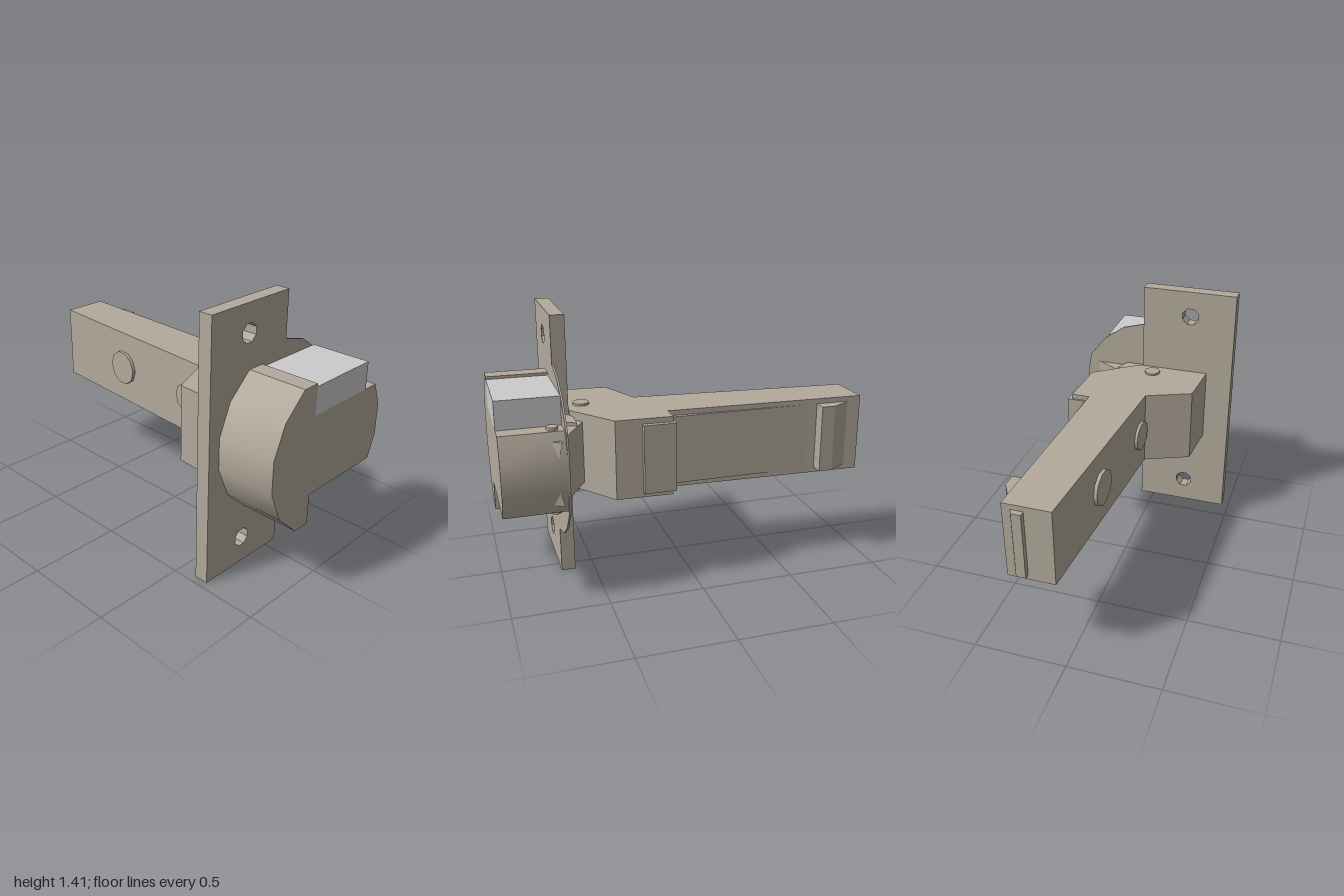
import * as THREE from 'three';
import { toCreasedNormals } from 'three/addons/utils/BufferGeometryUtils.js';
import { ConvexGeometry } from 'three/addons/geometries/ConvexGeometry.js';

const MID = 0.707; // height of the arm and cup axis

export function createModel() {
  const group = new THREE.Group();
  const metal = new THREE.MeshStandardMaterial({ color: 0xb3aa9c });
  const grey = new THREE.MeshStandardMaterial({ color: 0xcccccc });

  const add = (name, geometry, material = metal) => {
    const mesh = new THREE.Mesh(geometry, material);
    mesh.name = name;
    group.add(mesh);
    return mesh;
  };
  const toShape = (pts) => new THREE.Shape(pts.map(([x, y]) => new THREE.Vector2(x, y)));
  const extrude = (shape, depth) => new THREE.ExtrudeGeometry(shape, { depth, bevelEnabled: false, curveSegments: 4 });
  // front outline (x, y) extruded from z0 to z1
  const facing = (shape, z0, z1) => extrude(shape, z1 - z0).translate(0, 0, z0);
  // plan outline (x, z) extruded from y0 to y1
  const plan = (pts, y0, y1) => extrude(toShape(pts), y1 - y0).rotateX(Math.PI / 2).translate(0, y1, 0);
  const box = (x0, x1, y0, y1, z0, z1) => new THREE.BoxGeometry(x1 - x0, y1 - y0, z1 - z0)
    .translate((x0 + x1) / 2, (y0 + y1) / 2, (z0 + z1) / 2);
  const disc = (r, y0, y1, x, z) => new THREE.CylinderGeometry(r, r, y1 - y0, 10).translate(x, (y0 + y1) / 2, z);

  // Mounting plate with two octagonal screw holes
  const plate = toShape([[-0.46, 0], [0.08, 0], [0.08, 1.414], [-0.46, 1.414]]);
  for (const y of [0.149, 1.265]) {
    const hole = new THREE.Path();
    for (let i = 0; i < 8; i++) {
      const a = -(i + 0.5) * Math.PI / 4;
      const p = [-0.2 + 0.051 * Math.cos(a), y + 0.051 * Math.sin(a)];
      i ? hole.lineTo(...p) : hole.moveTo(...p);
    }
    hole.closePath();
    plate.holes.push(hole);
  }
  add('mountingPlate', facing(plate, 0.605, 0.68));

  // Thin round flange beside the plate
  const rim = [[0.08, 0.455], [0.225, 0.415], [0.345, 0.33], [0.437, 0.212], [0.458, 0.085]];
  const lower = rim.map(([x, d]) => [x, MID - d]);
  const upper = rim.map(([x, d]) => [x, MID + d]).reverse();
  add('cupFlange', facing(toShape([...lower, ...upper]), 0.67, 0.68));

  // Cup body: rounded on the outside, stepped above and below
  const half = [[-0.39, 0.085], [-0.32, 0.25], [-0.19, 0.373], [-0.095, 0.373],
    [-0.095, 0.21], [0.41, 0.21], [0.458, 0.085]];
  const cup = [...half.map(([x, d]) => [x, MID - d]), ...half.map(([x, d]) => [x, MID + d]).reverse()];
  add('cup', toCreasedNormals(facing(toShape(cup), 0.68, 1), 0.7));
  add('damperBlock', box(-0.095, 0.32, 0.917, 1.065, 0.68, 1), grey);

  // Rivets and barbs on the cup
  add('cupRivetTop', disc(0.03, 0.9, 0.932, 0.37, 0.735));
  add('cupRivetBottom', disc(0.03, 0.482, 0.51, 0.37, 0.735));
  add('cupRivetBottomInner', disc(0.03, 0.482, 0.51, 0.25, 0.835));
  for (const s of [-1, 1]) {
    const corners = [[0.405, 0.165, 0.7], [0.457, 0.165, 0.7], [0.457, 0.085, 0.72], [0.425, 0.165, 0.755], [0.405, 0.12, 0.73]];
    add('cupBarb', new ConvexGeometry(corners.map(([x, d, z]) => new THREE.Vector3(x, MID + s * d, z))));
  }

  // Link between cup and arm, with side cheeks
  add('link', plan([[0.08, 0.615], [0.17, 0.55], [0.38, 0.67], [0.08, 0.67]], 0.545, 0.875));
  for (const y of [0.525, 0.875]) {
    add('linkCheek', plan([[0.08, 0.6], [0.12, 0.59], [0.235, 0.59], [0.2, 0.67], [0.08, 0.67]], y, y + 0.018));
  }

  // Tapered arm with an angled root
  add('arm', plan([[0.04, -0.97], [0.29, -0.97], [0.255, 0.12], [0.355, 0.12], [0.345, 0.42],
    [0.1, 0.605], [-0.31, 0.605], [-0.29, 0.33], [-0.045, 0.225]], 0.497, 0.92));
  add('armPin', disc(0.045, 0.482, 0.932, 0, 0.525));

  // Raised parts along the arm
  add('armInsert', box(0.2, 0.28, 0.525, 0.892, -0.7, 0.13));
  add('armStop', box(0.27, 0.38, 0.525, 0.892, 0.11, 0.28));
  add('armCatch', plan([[0.25, -0.95], [0.285, -0.9], [0.35, -0.79], [0.35, -0.715], [0.25, -0.715]], 0.525, 0.892));
  add('armRelease', plan([[0.18, -0.96], [0.18, -1], [0.23, -1], [0.252, -0.96]], 0.525, 0.892));

  // Adjusting screws on the slanted side of the arm
  for (const [x, z, r] of [[-0.003, -0.42, 0.1], [-0.04, 0.14, 0.085]]) {
    const screw = add('adjustingScrew', new THREE.CylinderGeometry(r, r, 0.03, 10).rotateZ(Math.PI / 2));
    screw.rotation.y = 0.071;
    screw.position.set(x, MID, z);
    screw.rotation.y = -0.071;
  }
  return group;
}
